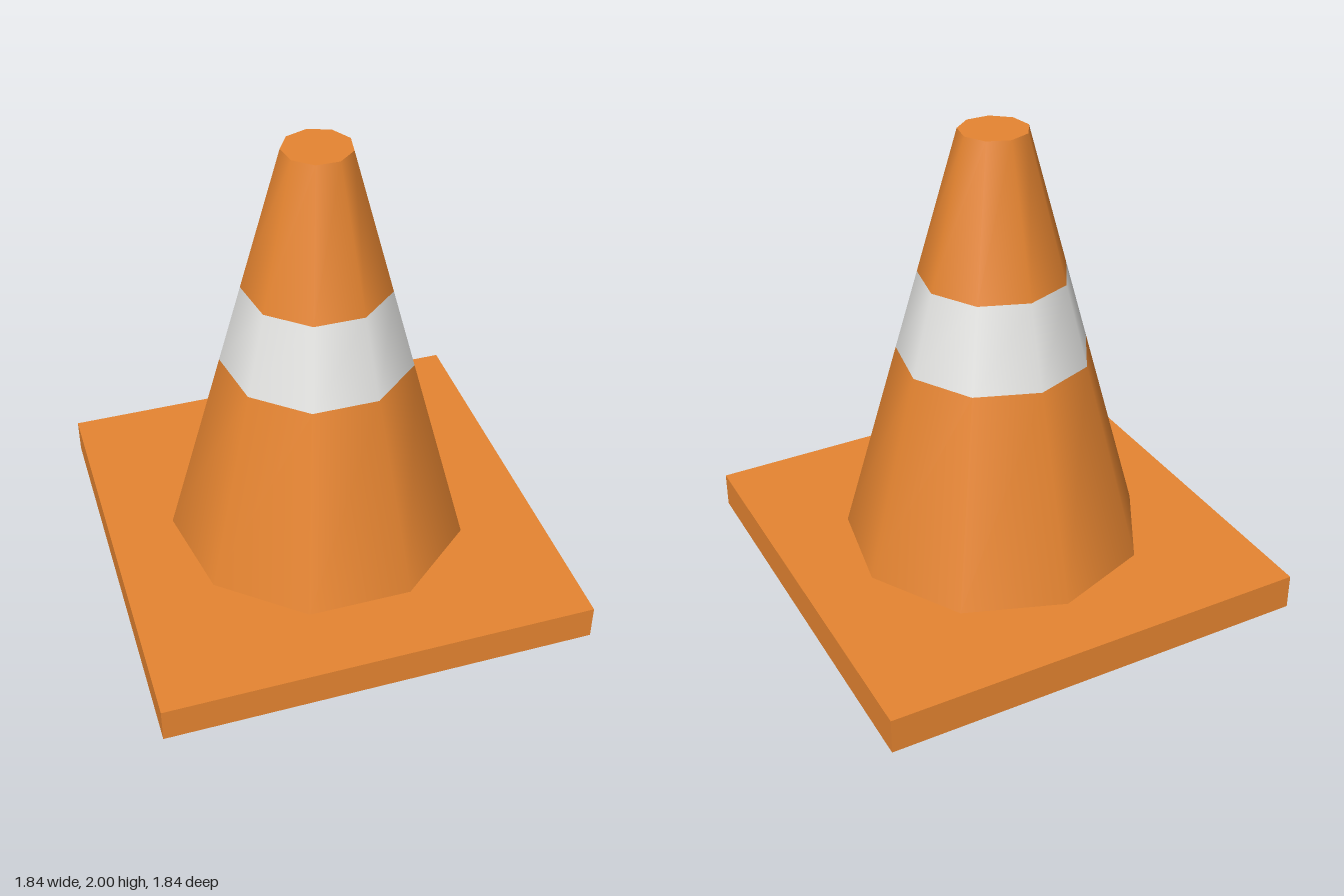
import * as THREE from 'three';

const SIDES = 9;
const BOTTOM = 0.165, TOP = 2, R_BOTTOM = 0.647, R_TOP = 0.142;

// cone radius at a given height
const radiusAt = (y) => THREE.MathUtils.mapLinear(y, BOTTOM, TOP, R_BOTTOM, R_TOP);

export function createModel() {
  const orange = new THREE.MeshStandardMaterial({ color: 0xe68531 });
  orange.name = 'orange';
  const white = new THREE.MeshStandardMaterial({ color: 0xe6e6e4 });
  white.name = 'white';

  const model = new THREE.Group();
  model.name = 'trafficCone';
  const add = (name, geometry, material, y) => {
    const mesh = new THREE.Mesh(geometry, material);
    mesh.name = name;
    mesh.position.y = y;
    model.add(mesh);
  };

  // square base plate
  add('base', new THREE.BoxGeometry(1.84, 0.155, 1.84), orange, 0.0775);

  // smooth-shaded nine-sided cone, split at the edges of the band
  const sections = [
    ['lowerCone', BOTTOM, 1.04, orange],
    ['reflectiveBand', 1.04, 1.39, white],
    ['upperCone', 1.39, TOP, orange],
  ];
  for (const [name, y0, y1, material] of sections) {
    const geometry = new THREE.CylinderGeometry(
      radiusAt(y1), radiusAt(y0), y1 - y0, SIDES, 1, true, Math.PI);
    add(name, geometry, material, (y0 + y1) / 2);
  }

  // flat end caps, with a corner towards the back like the cone
  const cap = (radius, tilt) =>
    new THREE.CircleGeometry(radius, SIDES, tilt * Math.PI / 2).rotateX(-tilt * Math.PI / 2);
  add('topCap', cap(R_TOP, 1), orange, TOP);
  add('bottomCap', cap(R_BOTTOM, -1), orange, BOTTOM);

  return model;
}
